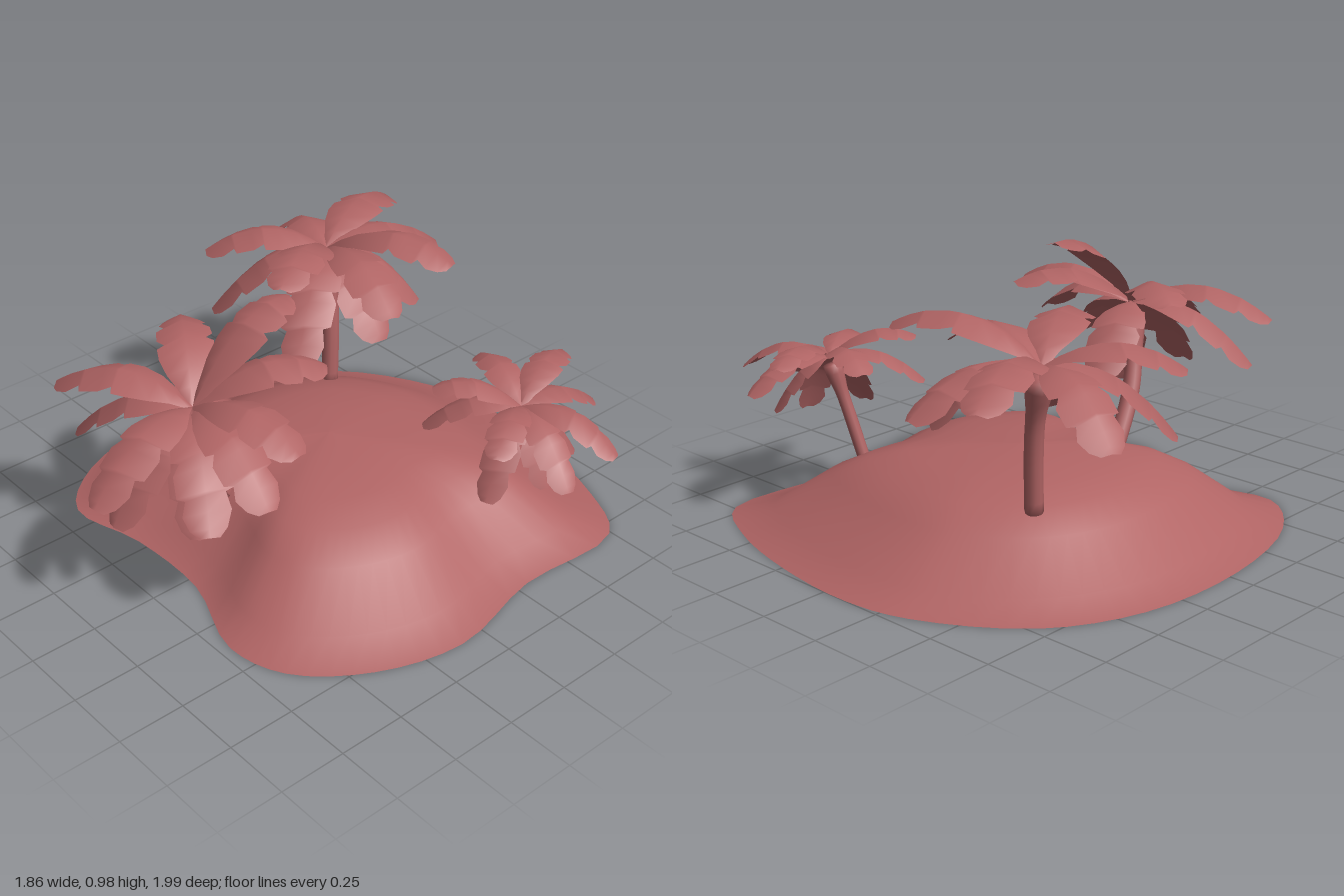
import * as THREE from 'three';

const V = (a) => new THREE.Vector3(...a);
const material = new THREE.MeshStandardMaterial({ color: 0xb06464, side: THREE.DoubleSide });

function surface(positions, index) {
  const g = new THREE.BufferGeometry();
  g.setAttribute('position', new THREE.Float32BufferAttribute(positions, 3));
  g.setIndex(index);
  g.computeVertexNormals();
  return g;
}

function named(geometry, name) {
  const mesh = new THREE.Mesh(geometry, material);
  mesh.name = name;
  return mesh;
}

// Shoreline [x, z], and dome profile [fraction of the way to the shore, height]
const shore = [
  [0.88, 0.1], [0.79, 0.42], [0.6, 0.65], [0.38, 0.71], [0.05, 0.6], [-0.3, 0.6],
  [-0.6, 0.66], [-0.79, 0.47], [-0.9, 0.05], [-0.87, -0.4], [-0.7, -0.72],
  [-0.35, -0.95], [-0.1, -1], [0.25, -0.97], [0.58, -0.88], [0.8, -0.74], [0.8, -0.3],
];
const dome = [[0, 0.295], [0.2, 0.287], [0.38, 0.268], [0.52, 0.235], [0.65, 0.175], [0.85, 0.04], [1, 0]];

// Open-bottomed mound: rings of the shoreline shrinking towards the summit
function islandGeometry() {
  const curve = new THREE.CatmullRomCurve3(shore.map(([x, z]) => V([x, 0, z])), true);
  const summit = V([-0.05, 0, -0.11]);
  const n = 68, pos = [], idx = [];
  dome.forEach(([t, y], r) => {
    for (let i = 0; i < n; i++) {
      const p = summit.clone().lerp(curve.getPoint(i / n), t);
      pos.push(p.x, y, p.z);
      if (r === 0) continue;
      const a = (r - 1) * n + i, b = (r - 1) * n + (i + 1) % n;
      idx.push(a, b + n, a + n);
      if (r > 1) idx.push(a, b, b + n);
    }
  });
  return surface(pos, idx);
}

// Bent trunk with flat closed ends, flaring into a crown at the top
function trunkGeometry(points, radius) {
  const path = new THREE.CatmullRomCurve3(points);
  const rings = 14, sides = 10;
  const g = new THREE.TubeGeometry(path, rings, radius, sides);
  const p = g.attributes.position, v = new THREE.Vector3();
  for (let i = 0; i <= rings; i++) {
    const cap = i === 0 || i === rings;
    const t = i / rings, c = path.getPointAt(t);
    const s = 1 + 0.5 * THREE.MathUtils.smoothstep(t, 0.65, 0.9);
    const capCentre = path.getPointAt(THREE.MathUtils.clamp(t, 1 / rings, 1 - 1 / rings));
    for (let j = 0; j <= sides; j++) {
      const k = i * (sides + 1) + j;
      if (cap) v.copy(capCentre);
      else v.fromBufferAttribute(p, k).sub(c).multiplyScalar(s).add(c);
      p.setXYZ(k, v.x, v.y, v.z);
    }
  }
  g.computeVertexNormals();
  return g;
}

// Leaf outline [along, half width]; sudden drops in width make the torn notches
const leafEdge = [
  [0, 0.14], [0.12, 0.42], [0.25, 0.76], [0.4, 0.97], [0.52, 1], [0.54, 0.74], [0.62, 0.98],
  [0.77, 0.95], [0.79, 0.68], [0.88, 0.82], [0.96, 0.62], [1, 0.34],
];

// Arched leaf with a raised midrib and sagging edges
function frondGeometry(from, to, width) {
  const length = from.distanceTo(to);
  const ctrl = from.clone().lerp(to, 0.5);
  ctrl.y += 0.36 * length;
  const curve = new THREE.QuadraticBezierCurve3(from, ctrl, to);
  const side = new THREE.Vector3(from.z - to.z, 0, to.x - from.x).normalize();
  const pos = [], idx = [];
  leafEdge.forEach(([t, w], i) => {
    const up = side.clone().cross(curve.getTangent(t)).normalize();
    if (up.y < 0) up.negate();
    for (const s of [-1, 0, 1]) {
      // the two sides tear at slightly different places
      const q = curve.getPoint(t + s * 0.03 * Math.sin(Math.PI * t));
      q.addScaledVector(side, s * w * width * 0.95);
      q.addScaledVector(up, -Math.abs(s) * w * width * 0.35);
      pos.push(q.x, q.y, q.z);
    }
    if (i === 0) return;
    for (const k of [0, 1]) {
      const a = (i - 1) * 3 + k;
      idx.push(a, a + 1, a + 4, a, a + 4, a + 3);
    }
  });
  return surface(pos, idx);
}

// Frond tips measured from the crown: a spreading ring, then the drooping ones
const uprightTips = [
  [-0.44, -0.14, -0.17], [-0.18, 0, -0.48], [0.11, -0.09, -0.48], [0.27, -0.2, -0.24],
  [0.52, 0.08, -0.16], [0.52, -0.03, 0.14], [0.22, 0.06, 0.41], [-0.32, -0.02, 0.34],
  [-0.28, -0.26, 0.35], [0.26, -0.28, 0.37], [0.37, -0.23, 0.05],
];
const forwardTips = [
  [0.02, 0.29, -0.41], [0.23, 0.11, -0.4], [0.49, 0.03, -0.06], [0.5, -0.12, 0.08],
  [0.38, -0.22, 0.23], [0.08, -0.16, 0.47], [0.03, -0.31, 0.37], [0.2, -0.38, 0.14],
  [-0.48, -0.03, 0.23], [-0.42, -0.21, 0.2], [-0.38, 0.1, -0.24], [-0.1, -0.21, -0.3],
];

// A palm: trunk path up to the crown, then its fronds, scaled and leaning sideways
function palm(name, trunk, tips, size, lean) {
  const group = new THREE.Group();
  group.name = name;
  const path = trunk.map(V);
  const crown = path[path.length - 1];
  group.add(named(trunkGeometry(path, 0.033 * size), 'trunk'));
  const tilt = new THREE.Euler(0, 0, lean);
  for (const offset of tips) {
    const tip = V(offset).applyEuler(tilt).multiplyScalar(size).add(crown);
    group.add(named(frondGeometry(crown, tip, 0.105 * size), 'frond'));
  }
  return group;
}

export function createModel() {
  const model = new THREE.Group();
  model.name = 'palmIsland';
  model.add(
    named(islandGeometry(), 'island'),
    palm('backRightPalm', [[-0.4, 0.18, -0.42], [-0.43, 0.52, -0.45], [-0.49, 0.76, -0.48]], uprightTips, 1, 0),
    palm('frontPalm', [[-0.135, 0.13, 0.29], [-0.1, 0.4, 0.445], [-0.03, 0.69, 0.52]], forwardTips, 1, 0),
    palm('backLeftPalm', [[0.46, 0.13, -0.385], [0.52, 0.36, -0.42], [0.57, 0.57, -0.46]], uprightTips, 0.69, -0.38),
  );
  return model;
}
